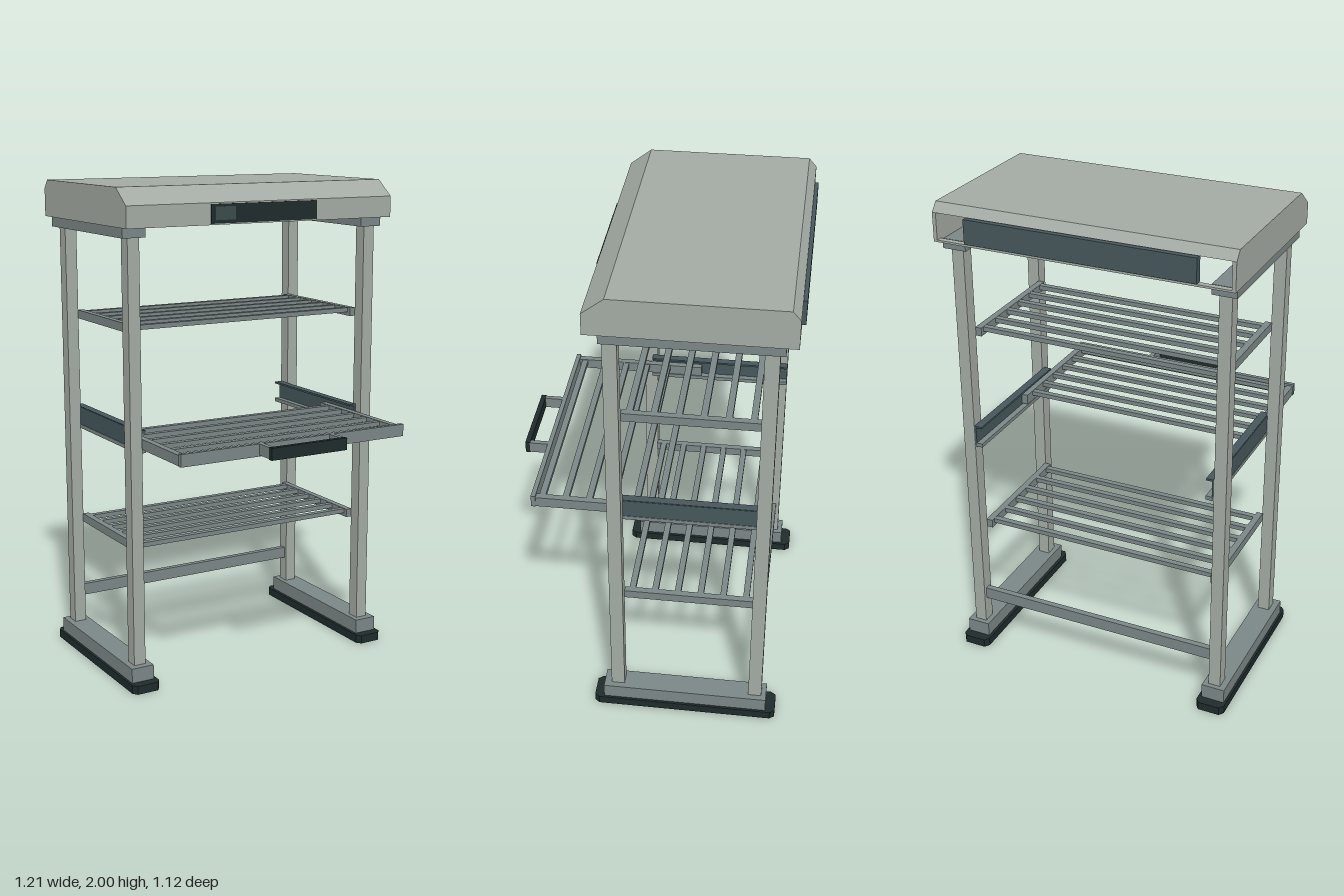
import * as THREE from 'three';

const mat = (name, color) => {
  const m = new THREE.MeshStandardMaterial({ color });
  m.name = name;
  return m;
};

export function createModel() {
  const paint = mat('pale grey paint', 0xa3aaa3);
  const steel = mat('grey steel', 0x7b8686);
  const slate = mat('dark slate', 0x46575b);
  const black = mat('black plastic', 0x1f2b2b);
  const glass = mat('screen grey', 0x3b4b4b);

  const model = new THREE.Group();
  model.name = 'shelfRack';

  // Box given by its low and high limits on each axis
  const box = (name, m, x0, x1, y0, y1, z0, z1, parent = model) => {
    const mesh = new THREE.Mesh(new THREE.BoxGeometry(x1 - x0, y1 - y0, z1 - z0), m);
    mesh.position.set((x0 + x1) / 2, (y0 + y1) / 2, (z0 + z1) / 2);
    mesh.name = name;
    parent.add(mesh);
    return mesh;
  };
  // The same box on both sides of x = 0
  const pair = (name, m, x0, x1, ...rest) => {
    box(name + 'Left', m, x0, x1, ...rest);
    box(name + 'Right', m, -x1, -x0, ...rest);
  };
  // Side profile of [z, y] points extruded along x
  const profile = (name, m, points, x0, x1) => {
    const shape = new THREE.Shape(points.map(([z, y]) => new THREE.Vector2(-z, y)));
    const geo = new THREE.ExtrudeGeometry(shape, { depth: x1 - x0, bevelEnabled: false });
    geo.rotateY(Math.PI / 2).translate(x0, 0, 0);
    const mesh = new THREE.Mesh(geo, m);
    mesh.name = name;
    model.add(mesh);
  };

  // Hood: folded sheet open below and behind, closed by two end walls
  const outer = [[0.22, 1.85], [0.22, 1.935], [0.135, 2], [-0.515, 2], [-0.545, 1.965]];
  const inner = [[-0.53, 1.96], [-0.51, 1.985], [0.13, 1.985], [0.205, 1.928], [0.205, 1.85]];
  profile('hoodCover', paint, [...outer, ...inner], -0.59, 0.59);
  const endWall = [...outer, [-0.545, 1.85]];
  profile('hoodEndLeft', paint, endWall, 0.59, 0.605);
  profile('hoodEndRight', paint, endWall, -0.605, -0.59);
  box('hoodBackSill', paint, -0.59, 0.59, 1.85, 1.858, -0.545, -0.52);
  box('backPanel', slate, -0.465, 0.465, 1.865, 1.962, -0.56, -0.53);

  // Control panel with its small screen
  box('controlPanel', black, -0.245, 0.24, 1.855, 1.93, 0.218, 0.224);
  box('screen', glass, -0.225, -0.135, 1.868, 1.92, 0.2235, 0.2245);

  // Foot plan with cut corners
  const footPlan = new THREE.Shape();
  [[0.045, -0.225], [0.06, -0.205], [0.06, 0.52], [0.045, 0.54],
    [-0.045, 0.54], [-0.06, 0.52], [-0.06, -0.205], [-0.045, -0.225]]
    .forEach(([x, y], i) => (i ? footPlan.lineTo(x, y) : footPlan.moveTo(x, y)));
  const footGeo = new THREE.ExtrudeGeometry(footPlan, { depth: 0.035, bevelEnabled: false });
  footGeo.rotateX(-Math.PI / 2);
  for (const s of [1, -1]) {
    const foot = new THREE.Mesh(footGeo, black);
    foot.position.x = s * 0.545;
    foot.name = s > 0 ? 'footLeft' : 'footRight';
    model.add(foot);
  }

  // Side frames
  pair('footBeam', steel, 0.498, 0.595, 0.035, 0.095, -0.5, 0.185);
  pair('frontPost', paint, 0.52, 0.57, 0.095, 1.81, 0.1, 0.155);
  pair('backPost', paint, 0.52, 0.57, 0.095, 1.81, -0.48, -0.425);
  pair('topBeam', steel, 0.498, 0.595, 1.81, 1.85, -0.5, 0.165);
  box('crossBar', steel, -0.52, 0.52, 0.205, 0.255, -0.465, -0.44);

  // Row of slats running across
  const slats = (name, halfWidth, y0, y1, zFirst) => {
    for (let i = 0; i < 6; i++) {
      const z = zFirst - i * 0.093;
      box(name, steel, -halfWidth, halfWidth, y0, y1, z - 0.0125, z + 0.0125);
    }
  };

  // Fixed shelves
  for (const [name, y] of [['lowerShelf', 0.545], ['upperShelf', 1.43]]) {
    pair(name + 'Rail', steel, 0.495, 0.522, y, y + 0.035, -0.425, 0.1);
    slats(name + 'Slat', 0.497, y + 0.015, y + 0.034, 0.07);
  }

  // Slide channels open towards the middle
  pair('slideWeb', slate, 0.512, 0.522, 0.965, 1.05, -0.48, 0.12);
  pair('slideTop', slate, 0.487, 0.52, 1.044, 1.052, -0.48, 0.12);
  pair('slideBase', steel, 0.487, 0.524, 0.96, 0.976, -0.48, 0.12);

  // Pulled-out shelf with its handle
  pair('drawerRail', steel, 0.485, 0.512, 0.98, 1.022, -0.1, 0.45);
  slats('drawerSlat', 0.487, 1.002, 1.02, 0.423);
  box('drawerFront', steel, -0.515, 0.515, 0.98, 1.03, 0.447, 0.465);
  pair('handleArm', steel, 0.152, 0.172, 0.985, 1.03, 0.465, 0.54);
  box('handleBar', black, -0.174, 0.172, 0.983, 1.032, 0.538, 0.558);

  return model;
}
